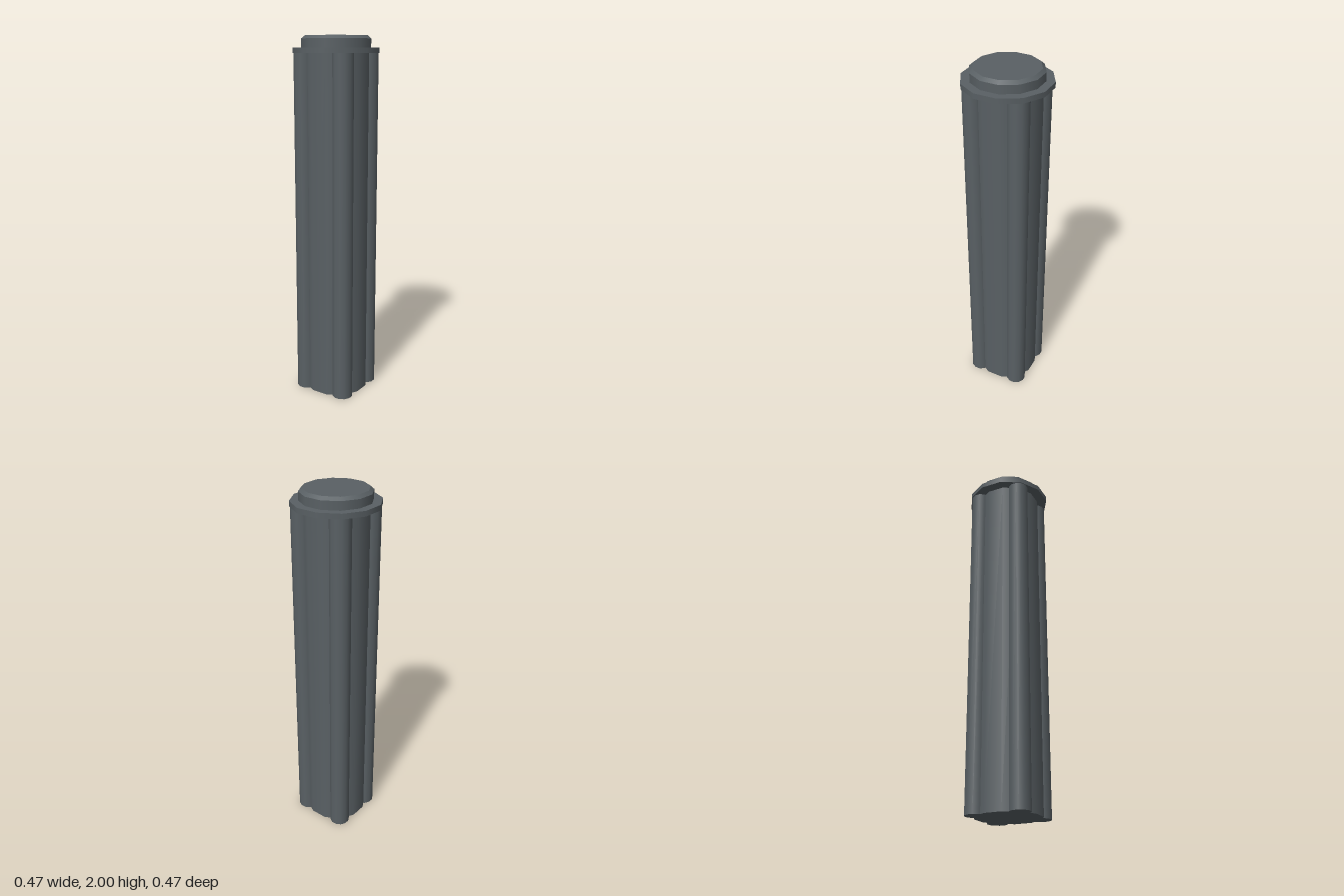
import * as THREE from 'three';

export function createModel() {
  const model = new THREE.Group();
  model.name = 'clusteredColumn';
  const slate = new THREE.MeshStandardMaterial({ color: 0x596064 });
  slate.name = 'slateGrey';

  // Upright cylinder between two heights, smooth sides and sharp rims
  function drum(name, rTop, rBottom, y0, y1, openEnded = false, x = 0, z = 0) {
    const geometry = new THREE.CylinderGeometry(rTop, rBottom, y1 - y0, 12, 1, openEnded);
    const mesh = new THREE.Mesh(geometry, slate);
    mesh.name = name;
    mesh.position.set(x, (y0 + y1) / 2, z);
    model.add(mesh);
  }

  // Shaft: round core with four attached half-columns
  const shaftTop = 1.91;
  drum('shaftCore', 0.18, 0.18, 0, shaftTop);
  for (let i = 0; i < 4; i++) {
    const a = (i * Math.PI) / 2;
    drum('shaftLobe', 0.057, 0.057, 0, shaftTop, false, 0.175 * Math.sin(a), 0.175 * Math.cos(a));
  }

  // Capital: wide collar, then a plug with a bevelled top
  drum('collar', 0.236, 0.236, shaftTop, 1.938);
  drum('plug', 0.19, 0.19, 1.938, 1.984, true);
  drum('plugBevel', 0.172, 0.19, 1.984, 2);

  return model;
}
